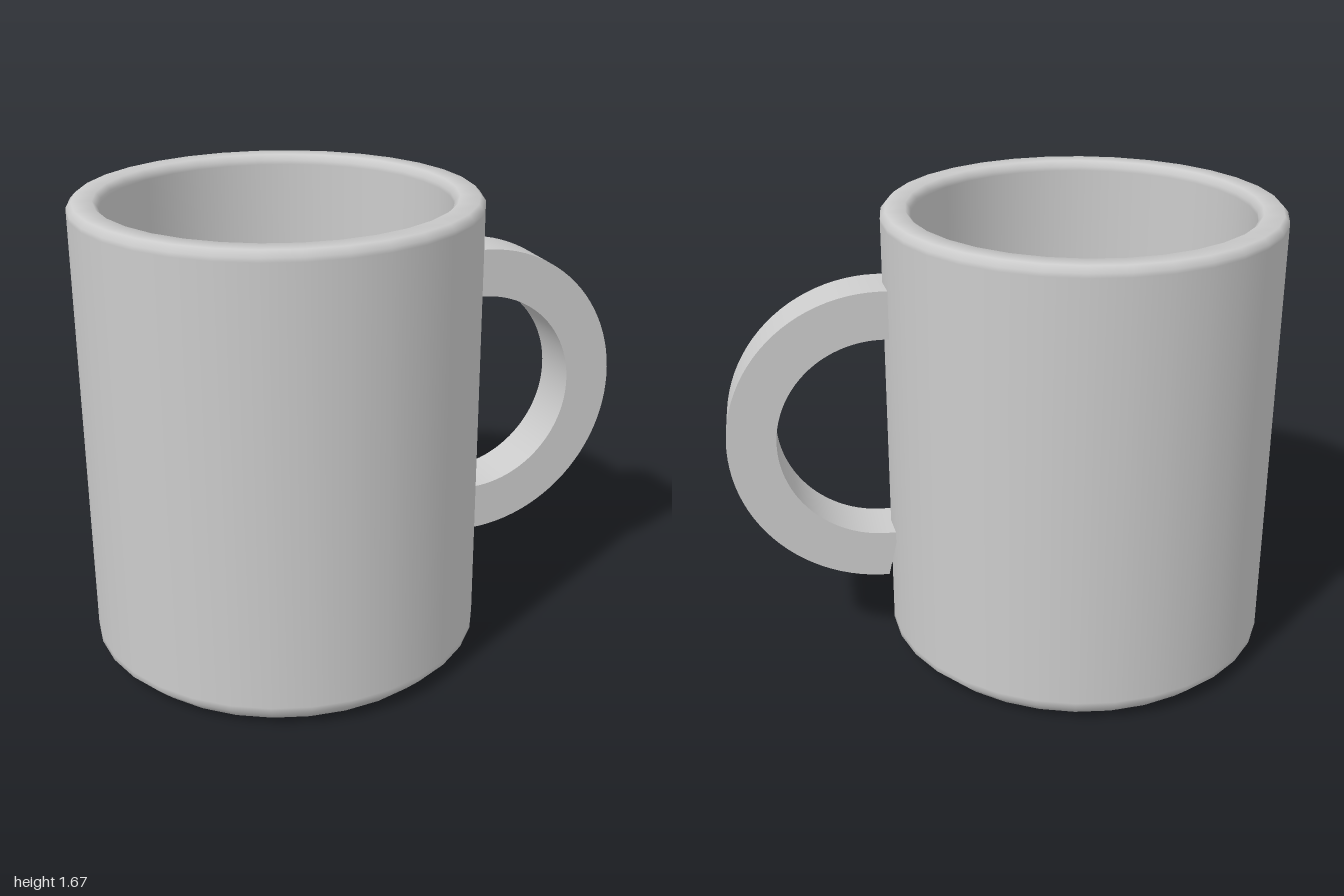
import * as THREE from 'three';
import { toCreasedNormals } from 'three/addons/utils/BufferGeometryUtils.js';

const CUP_X = -0.29;

function material() {
  return new THREE.MeshStandardMaterial({ color: 0xcccccc });
}

// Hollow cup: underside, chamfer, outer wall, rounded rim, inner wall, floor
function createCup() {
  const profile = [
    [0, 0], [0.63, 0], [0.65, 0.002], [0.71, 0.06], [0.71, 0.08],
    [0.71, 1.64], [0.71, 1.655], [0.692, 1.675],
    [0.622, 1.675], [0.605, 1.655], [0.605, 1.64],
    [0.605, 0.16], [0.605, 0.14], [0.593, 0.112], [0.565, 0.1], [0, 0.1],
  ].map(([r, y]) => new THREE.Vector2(r, y));
  const geometry = toCreasedNormals(new THREE.LatheGeometry(profile, 32), 0.9);
  const cup = new THREE.Mesh(geometry, material());
  cup.name = 'cup';
  cup.position.x = CUP_X;
  return cup;
}

// Half-ring handle of rectangular section, its ends set into the wall
function createHandle() {
  const x = 0.44, y = 0.868, outer = 0.558, inner = 0.382, end = 0.4, width = 0.195;
  const shape = new THREE.Shape();
  shape.moveTo(end, y - outer);
  shape.absarc(x, y, outer, -Math.PI / 2, Math.PI / 2, false);
  shape.lineTo(end, y + outer);
  shape.lineTo(end, y + inner);
  shape.absarc(x, y, inner, Math.PI / 2, -Math.PI / 2, true);
  shape.lineTo(end, y - inner);
  shape.closePath();
  const extruded = new THREE.ExtrudeGeometry(shape, {
    depth: width, bevelEnabled: false, curveSegments: 24,
  });
  extruded.translate(0, 0, -width / 2);
  const handle = new THREE.Mesh(toCreasedNormals(extruded, 0.6), material());
  handle.name = 'handle';
  return handle;
}

export function createModel() {
  const mug = new THREE.Group();
  mug.name = 'mug';
  mug.add(createCup(), createHandle());
  return mug;
}
